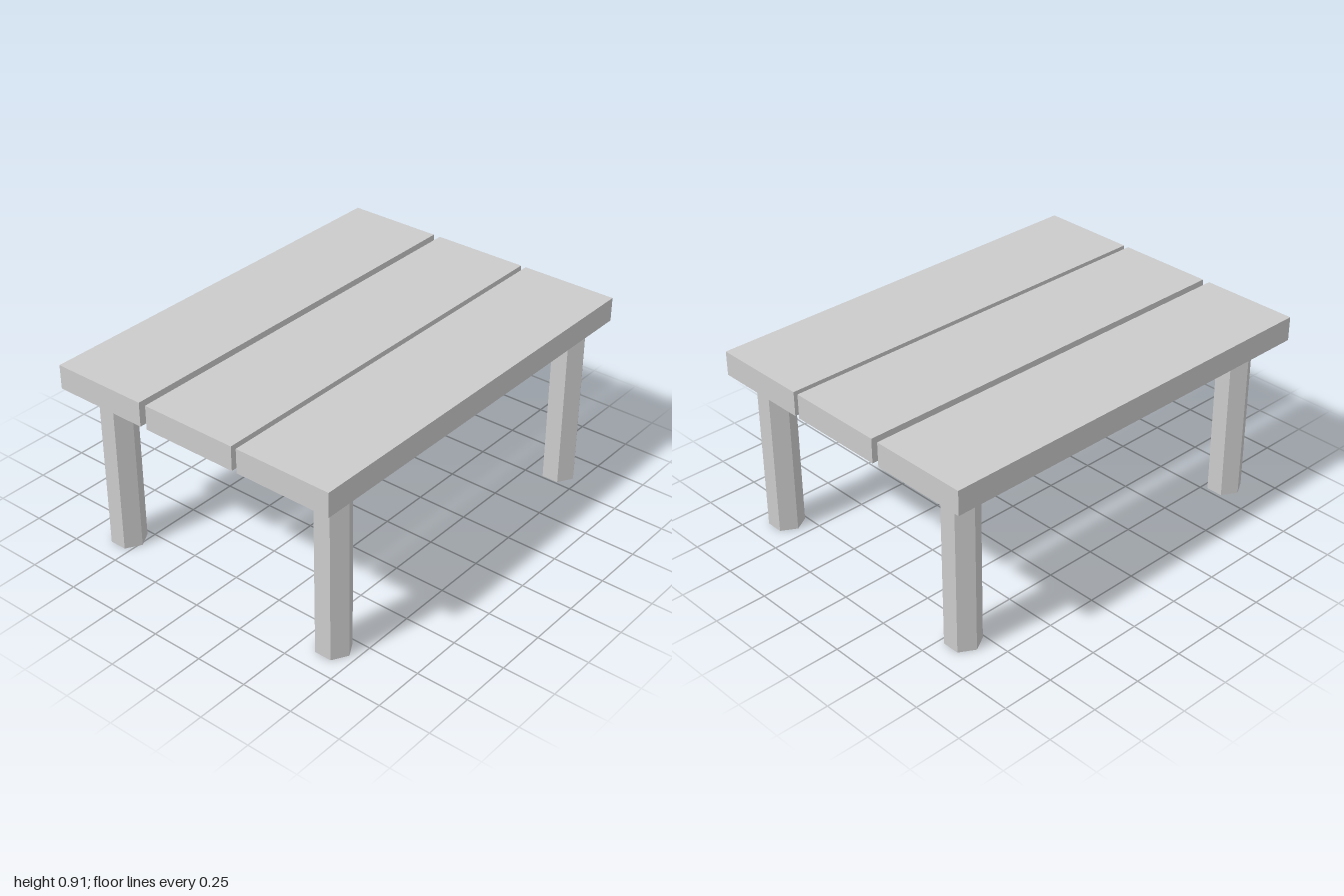
import * as THREE from 'three';

const LEG_HEIGHT = 0.798;
const LEG_RADIUS = 0.083;
const PLANK = { length: 2, thickness: 0.116, width: 0.475 };

export function createModel() {
  const table = new THREE.Group();
  table.name = 'table';
  const material = new THREE.MeshStandardMaterial({ color: 0xcccccc, flatShading: true });

  const add = (name, geometry, x, y, z) => {
    const mesh = new THREE.Mesh(geometry, material);
    mesh.name = name;
    mesh.position.set(x, y, z);
    table.add(mesh);
  };

  // Table top: three planks, with slightly uneven gaps between them
  const plankGeometry = new THREE.BoxGeometry(PLANK.length, PLANK.thickness, PLANK.width);
  const plankCentres = { frontPlank: 0.506, middlePlank: 0.005, backPlank: -0.506 };
  for (const [name, z] of Object.entries(plankCentres)) {
    add(name, plankGeometry, 0, LEG_HEIGHT + PLANK.thickness / 2, z);
  }

  // Hexagonal legs, one near each corner
  const legGeometry = new THREE.CylinderGeometry(LEG_RADIUS, LEG_RADIUS, LEG_HEIGHT, 6);
  for (const [end, z] of [['front', 0.633], ['back', -0.57]]) {
    for (const [side, x] of [['Left', 0.833], ['Right', -0.841]]) {
      add(`${end}${side}Leg`, legGeometry, x, LEG_HEIGHT / 2, z);
    }
  }

  return table;
}
